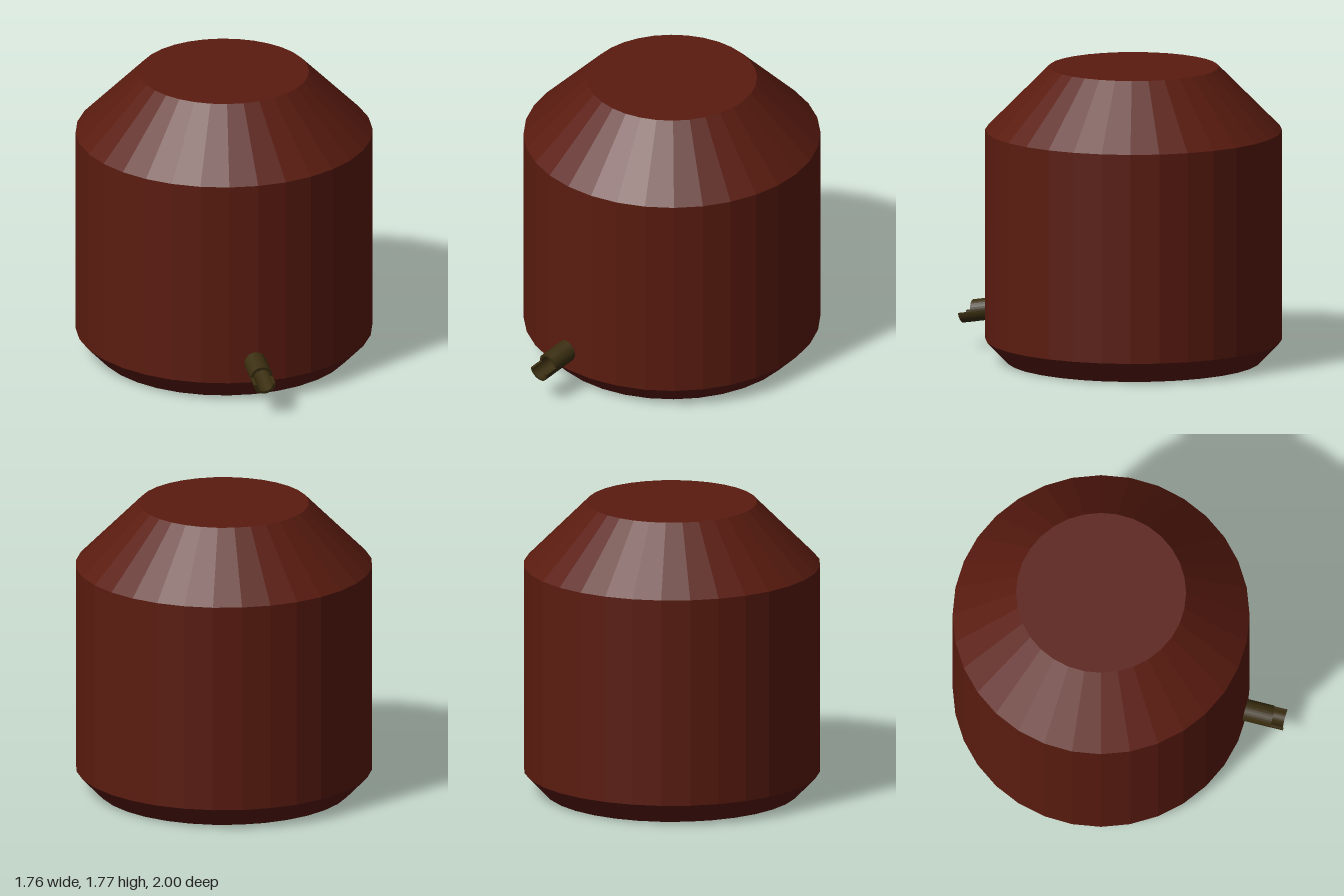
import * as THREE from 'three';

const SIDES = 32;

function makeMesh(name, geometry, color) {
  const material = new THREE.MeshStandardMaterial({ color, flatShading: true });
  const mesh = new THREE.Mesh(geometry, material);
  mesh.name = name;
  return mesh;
}

// Extrude a shape along +z between two distances
function extrudeBetween(shape, from, to) {
  const geometry = new THREE.ExtrudeGeometry(shape, {
    depth: to - from, bevelEnabled: false, curveSegments: 16,
  });
  return geometry.translate(0, 0, from);
}

function createSpout(color) {
  const outer = 0.066, inner = 0.05, mouth = 0.157, tip = 0.239;
  const spout = new THREE.Group();
  spout.name = 'spout';

  // Round pipe entering the tank
  const ring = new THREE.Shape().absarc(0, 0, outer, 0, Math.PI * 2, false);
  ring.holes.push(new THREE.Path().absarc(0, 0, inner, 0, Math.PI * 2, true));
  spout.add(makeMesh('spoutPipe', extrudeBetween(ring, -0.1, mouth), color));

  // Closed end inside the bore
  const disc = new THREE.Shape().absarc(0, 0, inner, 0, Math.PI * 2, false);
  spout.add(makeMesh('spoutPlug', extrudeBetween(disc, -0.1, 0.02), color));

  // Open lower half that carries on past the mouth
  const trough = new THREE.Shape();
  trough.absarc(0, 0, outer, Math.PI, Math.PI * 2, false);
  trough.absarc(0, 0, inner, Math.PI * 2, Math.PI, true);
  trough.closePath();
  spout.add(makeMesh('spoutTrough', extrudeBetween(trough, mouth, tip), color));

  spout.position.set(-0.016, 0.253, 0.765);
  spout.rotation.x = 0.17;
  return spout;
}

export function createModel() {
  const model = new THREE.Group();
  model.name = 'barrelWithSpout';

  // Closed tank: chamfered base, straight wall, sloped shoulder, flat top
  const profile = [
    [0, 0], [0.757, 0], [0.882, 0.13], [0.882, 1.39], [0.505, 1.77], [0, 1.77],
  ].map(([r, y]) => new THREE.Vector2(r, y));
  const tank = makeMesh('tank', new THREE.LatheGeometry(profile, SIDES), 0x5a1b0f);
  tank.position.z = -0.118;
  model.add(tank);

  model.add(createSpout(0x3a2e10));
  return model;
}
